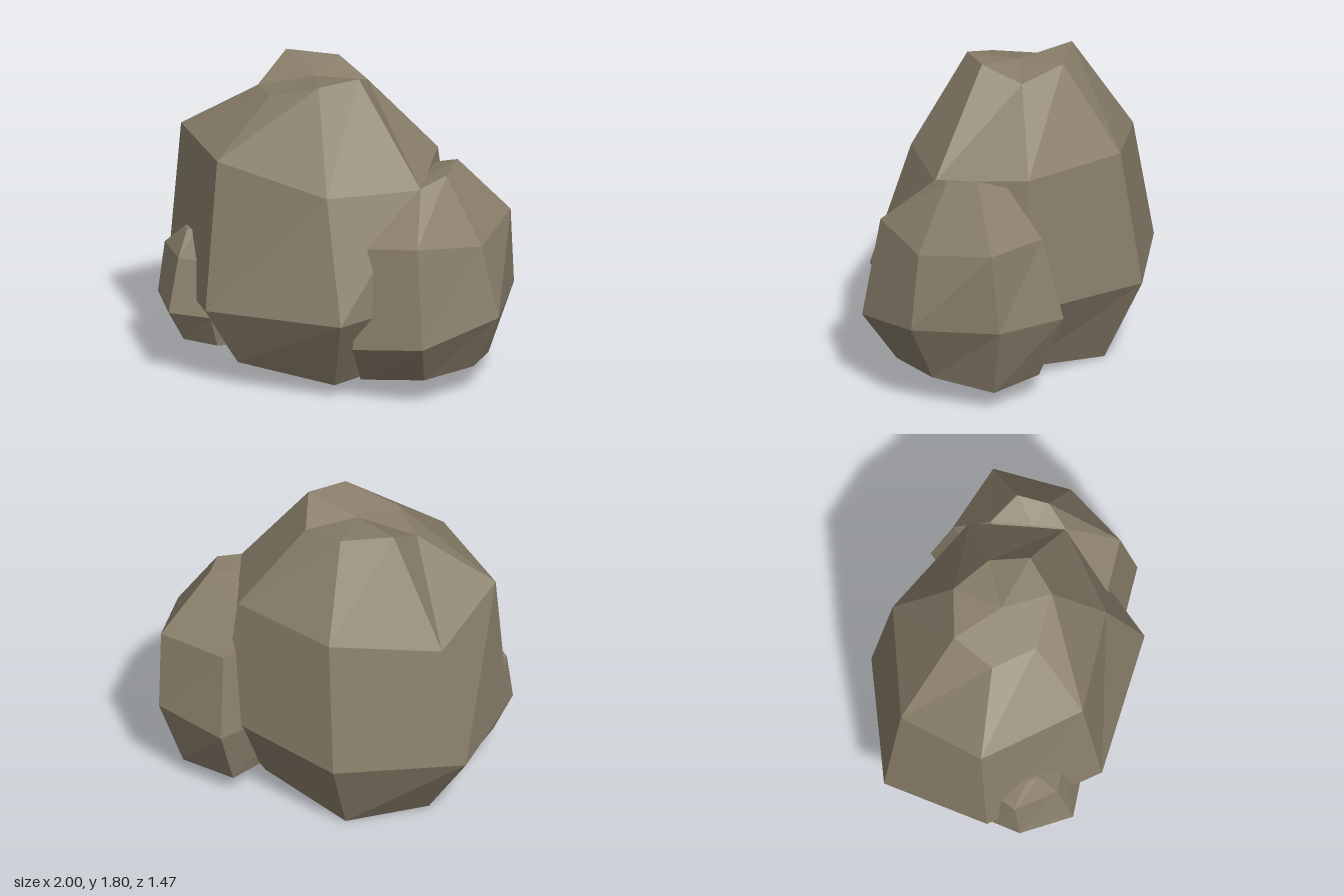
import * as THREE from 'three';

const stone = new THREE.MeshStandardMaterial({ color: 0x8a7f6b, flatShading: true });
stone.name = 'brown stone';

// Skins a stack of rings (bottom to top, each counter-clockwise from above) and caps both ends.
function boulder(name, rings) {
  const n = rings[0].length;
  const position = [];
  const tri = (a, b, c) => position.push(...a, ...b, ...c);
  const centre = (ring) => [0, 1, 2].map((k) => ring.reduce((sum, p) => sum + p[k], 0) / n);
  const bottom = rings[0], top = rings[rings.length - 1];
  const low = centre(bottom), high = centre(top);
  for (let i = 0; i < n; i++) {
    const j = (i + 1) % n;
    for (let r = 0; r < rings.length - 1; r++) {
      const lower = rings[r], upper = rings[r + 1];
      tri(lower[i], lower[j], upper[j]);
      tri(lower[i], upper[j], upper[i]);
    }
    tri(low, bottom[j], bottom[i]);
    tri(high, top[i], top[j]);
  }
  const geometry = new THREE.BufferGeometry();
  geometry.setAttribute('position', new THREE.Float32BufferAttribute(position, 3));
  geometry.computeVertexNormals();
  const mesh = new THREE.Mesh(geometry, stone);
  mesh.name = name;
  return mesh;
}

export function createModel() {
  const group = new THREE.Group();
  group.name = 'rockCluster';

  // Tall seven-sided main rock: foot, belly, shoulder, crown
  group.add(boulder('largeRock', [
    [[-0.72, 0.18, 0.2], [-0.33, 0.16, 0.55], [0.21, 0.08, 0.38], [0.38, 0.12, 0.03],
      [0.25, 0.08, -0.33], [-0.32, 0, -0.5], [-0.7, 0.02, -0.2]],
    [[-0.98, 0.5, 0.27], [-0.43, 0.51, 0.73], [0.4, 0.55, 0.61], [0.64, 0.58, 0.05],
      [0.45, 0.52, -0.51], [-0.35, 0.49, -0.74], [-1, 0.49, -0.36]],
    [[-0.93, 1.37, 0.21], [-0.43, 1.38, 0.61], [0.21, 1.24, 0.46], [0.57, 1.23, 0.04],
      [0.36, 1.28, -0.46], [-0.28, 1.28, -0.64], [-0.84, 1.21, -0.33]],
    [[-0.5, 1.65, 0.08], [-0.3, 1.69, 0.26], [0, 1.79, 0.22], [0.14, 1.805, 0.02],
      [0.06, 1.71, -0.2], [-0.2, 1.77, -0.3], [-0.47, 1.79, -0.17]],
  ]));

  // Six-sided rock leaning against the left side
  group.add(boulder('mediumRock', [
    [[0.34, 0.12, 0.31], [0.7, 0.16, 0.21], [0.82, 0.16, -0.12],
      [0.7, 0.105, -0.46], [0.36, 0.12, -0.53], [0.18, 0.12, -0.1]],
    [[0.38, 0.36, 0.46], [0.8, 0.42, 0.38], [1, 0.5, -0.1],
      [0.8, 0.52, -0.57], [0.36, 0.5, -0.7], [0.1, 0.45, -0.12]],
    [[0.42, 0.95, 0.37], [0.72, 0.99, 0.31], [0.9, 0.92, -0.08],
      [0.81, 0.98, -0.52], [0.4, 0.97, -0.58], [0.2, 0.93, -0.12]],
    [[0.45, 1.22, 0.04], [0.57, 1.24, 0.04], [0.65, 1.29, -0.1],
      [0.61, 1.32, -0.28], [0.43, 1.24, -0.36], [0.33, 1.2, -0.15]],
  ]));

  // Small six-sided rock at the front
  group.add(boulder('smallRock', [
    [[-0.84, 0.22, 0.38], [-0.68, 0.23, 0.57], [-0.48, 0.22, 0.53],
      [-0.43, 0.18, 0.35], [-0.6, 0.15, 0.2], [-0.8, 0.16, 0.22]],
    [[-0.93, 0.43, 0.45], [-0.71, 0.42, 0.68], [-0.47, 0.42, 0.62],
      [-0.43, 0.42, 0.38], [-0.62, 0.42, 0.2], [-0.93, 0.42, 0.28]],
    [[-0.91, 0.72, 0.41], [-0.71, 0.72, 0.58], [-0.56, 0.72, 0.55],
      [-0.5, 0.72, 0.4], [-0.62, 0.72, 0.25], [-0.88, 0.72, 0.27]],
    [[-0.77, 0.85, 0.42], [-0.72, 0.86, 0.47], [-0.67, 0.85, 0.46],
      [-0.64, 0.85, 0.4], [-0.68, 0.85, 0.35], [-0.75, 0.85, 0.36]],
  ]));

  return group;
}
